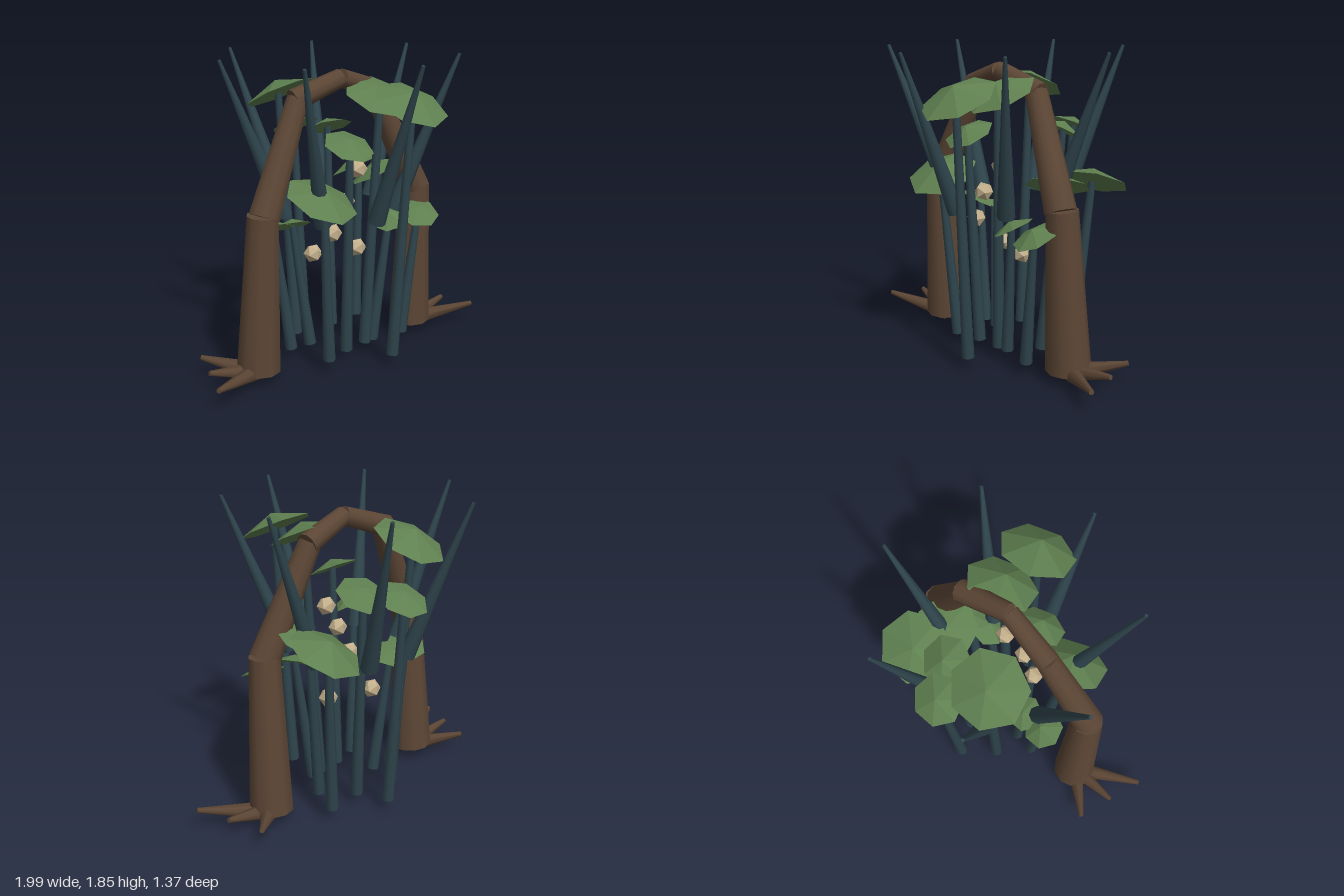
import * as THREE from 'three';

const paint = (name, color, flatShading) => {
  const m = new THREE.MeshStandardMaterial({ color, flatShading });
  m.name = name;
  return m;
};
const UP = new THREE.Vector3(0, 1, 0);

export function createModel() {
  const group = new THREE.Group();
  const bark = paint('bark brown', 0x5c4635, false);
  const reed = paint('reed teal', 0x2f454d, false);
  const leafGreen = paint('leaf green', 0x5f8050, true);
  const seed = paint('seed tan', 0xc4b08c, true);

  const add = (name, geometry, material) => {
    const mesh = new THREE.Mesh(geometry, material);
    mesh.name = name;
    group.add(mesh);
    return mesh;
  };
  // Tapered rod from point a to point b
  const rod = (name, a, b, ra, rb, sides, material) => {
    const p = new THREE.Vector3(...a), q = new THREE.Vector3(...b);
    const d = q.clone().sub(p);
    const mesh = add(name, new THREE.CylinderGeometry(rb, ra, d.length(), sides), material);
    mesh.position.copy(p).add(q).multiplyScalar(0.5);
    mesh.quaternion.setFromUnitVectors(UP, d.normalize());
  };

  // Arch of mirrored limbs, with three roots at each foot
  for (const s of [1, -1]) {
    rod('trunk', [s * 0.6, 0.072, -0.022], [s * 0.578, 1.01, 0.025], 0.132, 0.092, 10, bark);
    rod('archLimb', [s * 0.572, 0.995, 0.03], [s * 0.282, 1.62, -0.035], 0.092, 0.065, 10, bark);
    rod('archTop', [s * 0.31, 1.61, -0.04], [0, 1.715, 0], 0.066, 0.055, 10, bark);
    for (const [x, z] of [[0.99, 0.17], [0.92, -0.04], [0.85, -0.25]])
      rod('root', [s * 0.61, 0.06, -0.02], [s * x, 0.132, z], 0.055, 0.015, 7, bark);
  }

  // Ring of pointed shoots leaning outward: base x, base z, tip x, tip z
  const shoots = [
    [0, 0.32, 0, 0.67],
    [0.27, 0.17, 0.55, 0.4], [-0.27, 0.17, -0.56, 0.4],
    [0.33, -0.12, 0.69, -0.19], [-0.33, -0.12, -0.69, -0.19],
    [0.15, -0.37, 0.31, -0.68], [-0.15, -0.37, -0.31, -0.68],
  ];
  for (const [x, z, tx, tz] of shoots)
    rod('shoot', [x, 0.93, z], [tx, 1.85, tz], 0.053, 0.01, 8, reed);

  // Reeds, each carrying one tilted leaf: x, y, z, leaf radius, tilt direction x, z
  const leaves = [
    [0.16, 1.63, 0.43, 0.225, 0.1, 1], [0.17, 1.635, 0.15, 0.21, 0, 1],
    [-0.18, 1.63, -0.37, 0.22, -0.3, -1],
    [-0.08, 1.37, 0.18, 0.15, 0, 1],
    [0.05, 1.37, -0.53, 0.15, 0, -1], [0.17, 1.375, -0.34, 0.15, 0.2, -1],
    [-0.3, 1.11, 0.22, 0.215, 0.3, 1],
    [0.43, 1.12, -0.34, 0.22, -0.5, -1], [0.38, 1.11, -0.12, 0.19, -0.5, -0.6],
    [0.49, 0.87, 0.15, 0.14, -0.3, 1], [0.27, 0.87, 0.13, 0.125, -1, 0.6],
    [-0.39, 0.87, -0.15, 0.125, 0.5, -1], [-0.25, 0.855, -0.15, 0.11, 0.3, -1],
  ];
  for (const [x, y, z, r, dx, dz] of leaves) {
    // The foot of each stem sits a little closer to the middle than its leaf
    const k = 1 - Math.min(0.35, 0.1 / Math.hypot(x, z));
    rod('reedStem', [x * k, 0.08, z * k], [x, y, z], 0.037, 0.021, 8, reed);
    const leaf = add('leaf', new THREE.ConeGeometry(r, r * 0.37, 7), leafGreen);
    leaf.position.set(x, y + 0.01, z);
    const axis = new THREE.Vector3(dz, 0, -dx).normalize();
    leaf.quaternion.setFromAxisAngle(axis, 0.47);
  }

  // Faceted seed pods among the reeds
  for (const p of [[0.08, 1.18, 0.06], [-0.13, 0.83, 0.08], [-0.12, 0.65, -0.12],
    [0.16, 0.65, -0.04], [-0.04, 1.01, 0.09]])
    add('seedPod', new THREE.IcosahedronGeometry(0.058, 0), seed).position.set(...p);

  return group;
}
